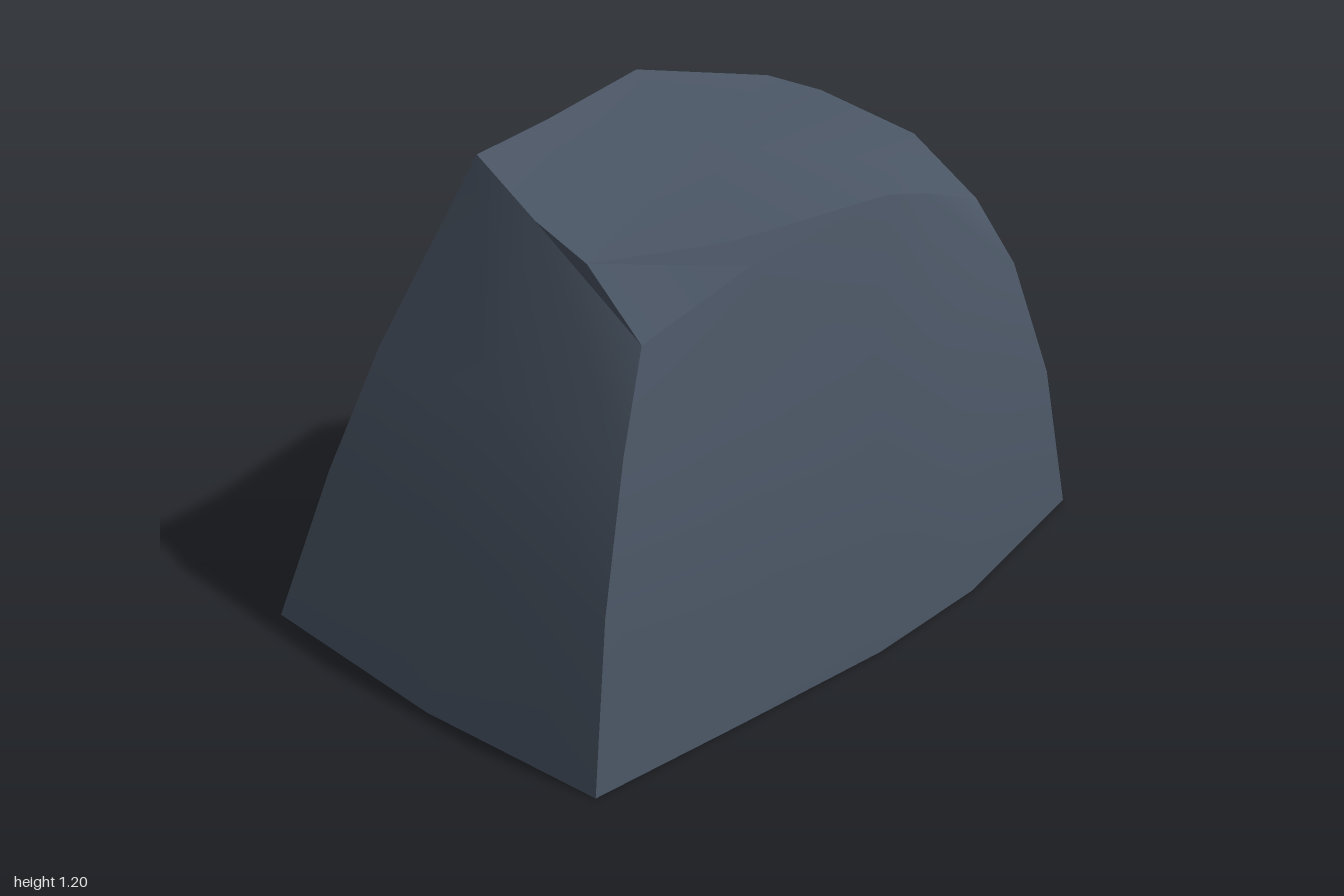
import * as THREE from 'three';
import { toCreasedNormals } from 'three/addons/utils/BufferGeometryUtils.js';

// Twelve columns run round the boulder, from the back at -x, past +x, to the front and back again.
// Each row holds x, z at ground level, then x, z on the two rings above it.
const RING_HEIGHTS = [0, 0.4, 0.72];
const SIDES = [
  [-0.98, -0.51, -0.88, -0.41, -0.76, -0.34],
  [-0.50, -0.54, -0.44, -0.48, -0.37, -0.40],
  [0.35, -0.585, 0.30, -0.55, 0.22, -0.505],
  [0.90, -0.65, 0.76, -0.48, 0.65, -0.38],
  [1.00, -0.40, 0.87, -0.35, 0.74, -0.26],
  [0.93, 0.05, 0.85, 0.04, 0.73, 0.06],
  [0.91, 0.42, 0.83, 0.405, 0.73, 0.36],
  [0.36, 0.585, 0.34, 0.56, 0.31, 0.49],
  [-0.03, 0.635, 0.00, 0.60, 0.05, 0.53],
  [-0.50, 0.64, -0.45, 0.60, -0.40, 0.53],
  [-0.95, 0.64, -0.87, 0.59, -0.74, 0.51],
  [-1.00, 0.10, -0.90, 0.08, -0.76, 0.06],
];

// Upper end of each side column
const SHOULDER = [
  [-0.54, 1.18, -0.22], [-0.30, 1.20, -0.25], [0.15, 1.18, -0.43], [0.55, 1.09, -0.36],
  [0.63, 1.06, -0.24], [0.60, 1.04, 0.12], [0.63, 0.91, 0.31], [0.33, 1.03, 0.41],
  [0.14, 1.09, 0.46], [-0.30, 1.03, 0.45], [-0.62, 0.93, 0.44], [-0.60, 1.11, 0.06],
];

// Columns whose rim is cut back by the front chamfer
const CHAMFER = {
  6: [0.60, 1.04, 0.12],
  7: [0.37, 1.065, 0.28],
  9: [-0.33, 1.085, 0.41],
  10: [-0.62, 1.07, 0.26],
};
const CROWN = [0, 1.135, 0];

function buildRock() {
  const columns = SIDES.map((s, i) => [
    ...RING_HEIGHTS.map((y, r) => [s[r * 2], y, s[r * 2 + 1]]),
    SHOULDER[i],
    CHAMFER[i] ?? SHOULDER[i],
  ]);
  const positions = [];
  const same = (a, b) => a.every((v, k) => v === b[k]);
  const triangle = (a, b, c) => {
    if (!same(a, b) && !same(b, c) && !same(c, a)) positions.push(...a, ...b, ...c);
  };

  columns.forEach((col, i) => {
    const next = columns[(i + 1) % columns.length];
    // Sides and chamfer
    for (let r = 0; r < col.length - 1; r++) {
      triangle(col[r], col[r + 1], next[r + 1]);
      triangle(col[r], next[r + 1], next[r]);
    }
    // Sloping top
    triangle(CROWN, next[4], col[4]);
  });

  const geometry = new THREE.BufferGeometry();
  geometry.setAttribute('position', new THREE.Float32BufferAttribute(positions, 3));
  return toCreasedNormals(geometry, 0.55);
}

export function createModel() {
  const group = new THREE.Group();
  group.name = 'boulder';

  // The shell is open underneath
  const slate = new THREE.MeshStandardMaterial({ color: 0x4a5564, side: THREE.DoubleSide });
  slate.name = 'slate grey';

  const rock = new THREE.Mesh(buildRock(), slate);
  rock.name = 'rockShell';
  group.add(rock);
  return group;
}
